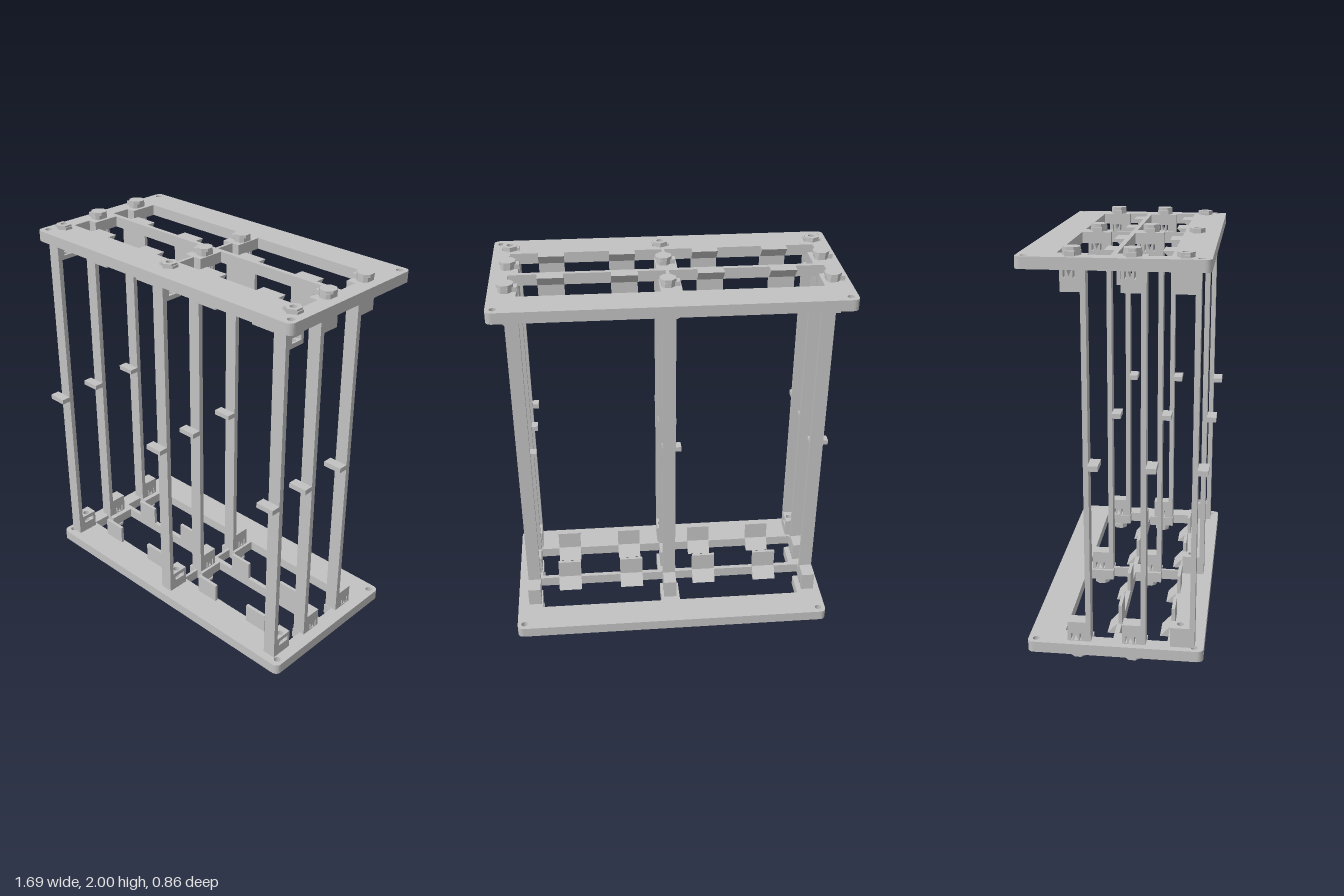
import * as THREE from 'three';

const grey = new THREE.MeshStandardMaterial({ color: 0xc2c2c2 });
grey.name = 'grey plastic';

const PLATE_LOW = 1.908, PLATE_TOP = 1.963;
const FOOT_LOW = 1.807;
const COLUMNS = [-0.777, 0, 0.752];      // post centres in x
const ROWS = [0.384, 0.148, -0.119];     // front face of each post in z
const POST_W = 0.068;

// plan points (x, z) to shape points, keeping them counter-clockwise
const flip = (pts) => pts.map(([x, z]) => new THREE.Vector2(x, -z)).reverse();
const rect = (x0, x1, z0, z1) => [[x0, z0], [x1, z0], [x1, z1], [x0, z1]];
const ring = (x, z, r, n, turn = 0) => Array.from({ length: n }, (_, i) => {
  const a = turn + (i / n) * Math.PI * 2;
  return [x + Math.cos(a) * r, z + Math.sin(a) * r];
});

// plan outline in (x, z), raised from y0 to y1
function slab(outline, holes, y0, y1) {
  const shape = new THREE.Shape(flip(outline));
  holes.forEach((h) => shape.holes.push(new THREE.Path(flip(h))));
  return new THREE.ExtrudeGeometry(shape, { depth: y1 - y0, bevelEnabled: false })
    .rotateX(-Math.PI / 2).translate(0, y0, 0);
}

// side outline in (z, y), spread over a width in x
function profile(outline, holes, x, width) {
  const toV = (pts) => pts.map(([z, y]) => new THREE.Vector2(z, y));
  const shape = new THREE.Shape(toV(outline));
  holes.forEach((h) => shape.holes.push(new THREE.Path(toV(h))));
  return new THREE.ExtrudeGeometry(shape, { depth: width, bevelEnabled: false })
    .rotateY(-Math.PI / 2).translate(x + width / 2, 0, 0);
}

function box(x0, x1, y0, y1, z0, z1) {
  return new THREE.BoxGeometry(x1 - x0, y1 - y0, z1 - z0)
    .translate((x0 + x1) / 2, (y0 + y1) / 2, (z0 + z1) / 2);
}

// mirror about y = 1, keeping faces outward
function mirrored(geometry) {
  const g = geometry.index ? geometry.toNonIndexed() : geometry.clone();
  const p = g.attributes.position;
  for (let i = 0; i < p.count; i += 3) {
    const v = [0, 2, 1].map((k) => new THREE.Vector3().fromBufferAttribute(p, i + k));
    v.forEach((q, k) => p.setXYZ(i + k, q.x, 2 - q.y, q.z));
  }
  g.computeVertexNormals();
  return g;
}

export function createModel() {
  const model = new THREE.Group();
  model.name = 'rackFrame';
  const add = (name, geometry) => {
    const mesh = new THREE.Mesh(geometry, grey);
    mesh.name = name;
    model.add(mesh);
  };
  const addPair = (name, geometry) => {
    add(name + 'Top', geometry);
    add(name + 'Bottom', mirrored(geometry));
  };

  // end plates: rounded corners, four stepped windows, screw holes
  const R = 0.03, X = 0.845, Z = 0.428;
  const outline = [];
  [[1, 1], [-1, 1], [-1, -1], [1, -1]].forEach(([sx, sz], c) => {
    for (let i = 0; i <= 5; i++) {
      const a = (c + i / 5) * Math.PI / 2;
      outline.push([sx * (X - R) + Math.cos(a) * R, sz * (Z - R) + Math.sin(a) * R]);
    }
  });
  const holes = [];
  for (const [z0, zs, z1] of [[-0.26, -0.116, -0.016], [0.008, 0.15, 0.25]]) {
    for (const [a, b, c, d] of [[-0.715, -0.052, -0.763, -0.008], [0.05, 0.712, 0.008, 0.76]]) {
      holes.push([[a, z0], [b, z0], [b, zs], [d, zs], [d, z1], [c, z1], [c, zs], [a, zs]]);
    }
  }
  for (const x of [-0.808, 0.808]) {
    for (const z of [-0.389, 0.383]) holes.push(ring(x, z, 0.017, 20));
  }
  COLUMNS.forEach((x) => holes.push(ring(x + 0.009, 0.313, 0.017, 20)));
  addPair('plate', slab(outline, holes, PLATE_LOW, PLATE_TOP));

  // guide tabs with a sloped ledge set into the plate edge
  for (const x of [-0.56, -0.209, 0.206, 0.558]) {
    for (const z of [-0.016, 0.25]) {
      addPair('guideTab', box(x - 0.064, x + 0.064, FOOT_LOW, PLATE_LOW, z + 0.007, z + 0.024));
      addPair('slopedLedge', profile(
        [[z, PLATE_LOW], [z, PLATE_TOP], [z - 0.05, PLATE_TOP]], [], x, 0.128));
    }
  }

  COLUMNS.forEach((x) => {
    const x0 = x - POST_W / 2, x1 = x + POST_W / 2, hx = x + 0.009;
    ROWS.forEach((z, row) => {
      // upright strip and its side finger
      add('post', box(x0, x1, 2 - PLATE_LOW, PLATE_LOW, z - 0.025, z));
      add('finger', box(x1 - 0.1, x1, 0.988, 1.014, z, z + 0.049));

      const back = z - 0.114, front = z - 0.025;
      if (row === 0) {
        // screw foot: bored through, with a hexagonal nut pocket open at one side
        const bore = [ring(hx, 0.313, 0.017, 20)];
        const fb = back - 0.004, n = 0.0315;
        const plan = rect(x0, x1, fb, front);
        addPair('footLower', slab(plan, bore, FOOT_LOW, 1.829));
        addPair('footUpper', slab(plan, bore, 1.854, PLATE_LOW));
        addPair('footNutPocket', slab([
          [x0, fb], [x1, fb], [x1, 0.313 - n], [hx, 0.313 - n],
          [hx - n * 0.866, 0.313 - n / 2], [hx - n * 0.866, 0.313 + n / 2],
          [hx, 0.313 + n], [x1, 0.313 + n], [x1, front], [x0, front],
        ], [], 1.829, 1.854));
        // screw seat and hexagonal collar
        addPair('screwSeat', slab(rect(hx - 0.045, hx + 0.04, 0.293, 0.333), bore, PLATE_TOP, 1.976));
        addPair('screwCollar', slab(ring(hx, 0.313, 0.04, 6, Math.PI / 6), bore, PLATE_TOP, 1.985));
      } else {
        // clip foot with spring slits
        const slits = [
          rect(z - 0.055, z - 0.047, 1.868, 1.904),
          rect(z - 0.098, z - 0.09, 1.868, 1.904),
          [[z - 0.083, 1.904], [z - 0.0725, 1.875], [z - 0.062, 1.904]],
        ];
        addPair('clipFoot', profile(
          [[back, FOOT_LOW], [front, FOOT_LOW], [front, PLATE_LOW], [back, PLATE_LOW]],
          slits, x, POST_W));
        // clip head standing through the plate
        const cz = z - 0.066;
        const head = [
          [0.02, -0.04], [0.034, -0.024], [0.034, 0.024], [0.02, 0.04],
          [-0.012, 0.04], [-0.03, 0.022], [-0.054, 0.022],
          [-0.054, -0.022], [-0.03, -0.022], [-0.012, -0.04],
        ].map(([a, b]) => [hx + a, cz + b]);
        addPair('clipBase', slab(head, [], PLATE_TOP, 1.985));
        addPair('clipHead', slab(
          ring(hx + 0.002, cz, 0.042, 8, Math.PI / 8), [], 1.985, 2.0));
      }
    });
  });

  return model;
}
